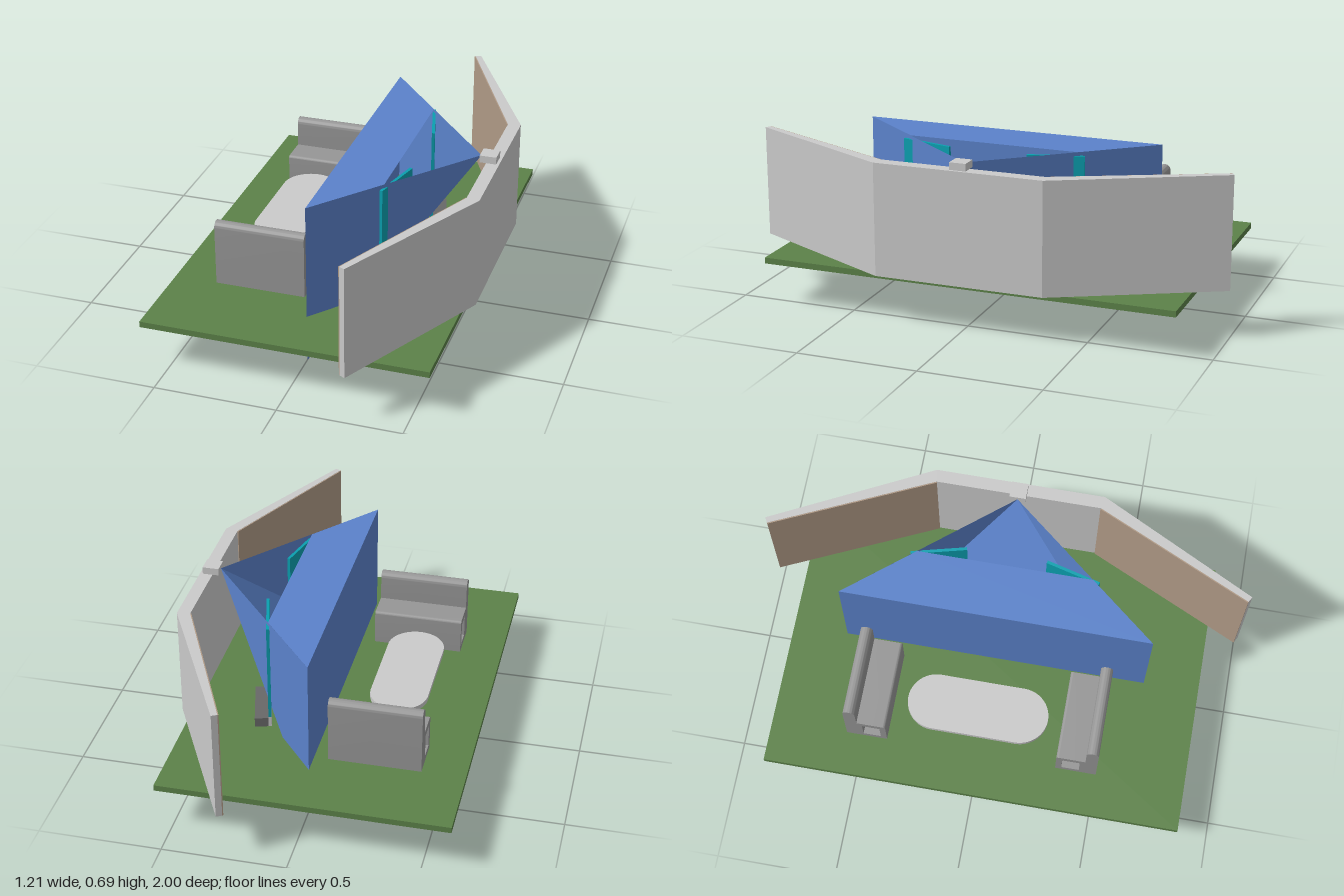
import * as THREE from 'three';
import { toCreasedNormals } from 'three/addons/utils/BufferGeometryUtils.js';

const mat = (name, color, side = THREE.FrontSide) => {
  const m = new THREE.MeshStandardMaterial({ color, side });
  m.name = name;
  return m;
};

export function createModel() {
  const group = new THREE.Group();
  const green = mat('green floor', 0x5c8249);
  const pale = mat('pale grey', 0xcacaca);
  const grey = mat('sofa grey', 0x969696);
  const dark = mat('dark grey', 0x686868);
  const brown = mat('brown panel', 0xb09a86);
  const blue = mat('view blue', 0x5b82ca, THREE.DoubleSide);
  const teal = mat('screen teal', 0x0aa0b0);

  const add = (name, geo, material, x = 0, y = 0, z = 0) => {
    const m = new THREE.Mesh(geo, material);
    m.name = name;
    m.position.set(x, y, z);
    group.add(m);
    return m;
  };
  const box = (name, material, w, h, d, x, y, z) =>
    add(name, new THREE.BoxGeometry(w, h, d), material, x, y, z);

  // Upright prism over a plan outline of [x, z] points
  const prism = (name, material, pts, y0, y1) => {
    const s = new THREE.Shape(pts.map(([x, z]) => new THREE.Vector2(x, -z)));
    const g = new THREE.ExtrudeGeometry(s, { depth: y1 - y0, bevelEnabled: false });
    g.rotateX(-Math.PI / 2);
    return add(name, g, material, 0, y0, 0);
  };

  // Floor slab
  box('floor', green, 1.17, 0.025, 1.735, -0.023, 0.1875, 0);

  // Bent wall
  prism('wall', pale, [
    [0.272, 1], [0.605, 0.35], [0.605, -0.35], [0.272, -1],
    [0.25, -0.988], [0.552, -0.342], [0.552, 0.342], [0.25, 0.988],
  ], 0.2, 0.665);

  // Wing lining, camera housing, screens and their stands on both sides
  for (const s of [1, -1]) {
    prism('wallPanel', brown, [
      [0.25, 0.988 * s], [0.552, 0.342 * s], [0.548, 0.34 * s], [0.246, 0.986 * s],
    ], 0.201, 0.664);
    const a = [0.217, 0.385 * s], b = [0.274, 0.163 * s];
    const strip = (w) => [a, [a[0] + w, a[1] + w * 0.26 * s], [b[0] + w, b[1] + w * 0.26 * s], b];
    prism('screen', teal, strip(0.012), 0.245, 0.665);
    prism('screenFoot', pale, strip(0.012), 0.2, 0.245);
    const off = (p, w) => [p[0] + w, p[1] + w * 0.26 * s];
    prism('screenStand', dark, [off(a, 0.012), off(a, 0.066), off(b, 0.066), off(b, 0.012)], 0.2, 0.24);
  }
  box('cameraBox', pale, 0.068, 0.03, 0.068, 0.559, 0.68, 0);

  // View volume: far rectangle at x = 0, tip at the camera, lid open near the tip
  const T = [0.525, 0.68, 0];
  const A = [0, 0.68, 0.637], B = [0, 0.68, -0.637];
  const C = [0, 0, -0.637], D = [0, 0, 0.637];
  const E = [0.228, 0.68, 0.36], F = [0.228, 0.68, -0.36];
  const tris = [
    A, B, C, A, C, D,   // far face
    A, D, T, B, T, C,   // sides
    D, C, T,            // sloping underside
    A, E, F, A, F, B,   // lid
  ];
  const view = new THREE.BufferGeometry();
  view.setAttribute('position', new THREE.Float32BufferAttribute(tris.flat(), 3));
  view.computeVertexNormals();
  add('viewVolume', view, blue);

  // Sofas: hollow seat and round-topped back, profile drawn in (depth, height)
  const seatShape = new THREE.Shape();
  seatShape.moveTo(0, 0).lineTo(0.17, 0).lineTo(0.17, 0.25);
  seatShape.absarc(0.145, 0.25, 0.025, 0, Math.PI, false);
  seatShape.lineTo(0.12, 0.15).lineTo(0.012, 0.15);
  seatShape.quadraticCurveTo(0, 0.15, 0, 0.138);
  seatShape.lineTo(0, 0);
  const hole = new THREE.Path();
  hole.moveTo(0.025, 0.025).lineTo(0.025, 0.122).lineTo(0.098, 0.122).lineTo(0.098, 0.025).closePath();
  seatShape.holes.push(hole);
  const sofaGeo = toCreasedNormals(
    new THREE.ExtrudeGeometry(seatShape, { depth: 0.375, bevelEnabled: false, curveSegments: 12 })
      .translate(0, 0, -0.1875), 0.6);
  add('sofaFront', sofaGeo, grey, -0.244, 0.2, 0.33).rotation.y = -Math.PI / 2;
  add('sofaBack', sofaGeo, grey, -0.244, 0.2, -0.38).rotation.y = Math.PI / 2;

  // Table with rounded ends
  const stadium = (name, r, half, y0, y1) => {
    const s = new THREE.Shape();
    s.absarc(0, half, r, 0, Math.PI, false);
    s.absarc(0, -half, r, Math.PI, Math.PI * 2, false);
    s.closePath();
    const g = new THREE.ExtrudeGeometry(s, { depth: y1 - y0, bevelEnabled: false, curveSegments: 20 });
    g.rotateX(-Math.PI / 2);
    add(name, toCreasedNormals(g, 0.6), pale, -0.27, y0, -0.023);
  };
  stadium('tableTop', 0.118, 0.175, 0.295, 0.315);
  stadium('tableShelf', 0.095, 0.155, 0.255, 0.275);
  box('tableBase', pale, 0.1, 0.095, 0.36, -0.27, 0.2475, -0.023);

  return group;
}
